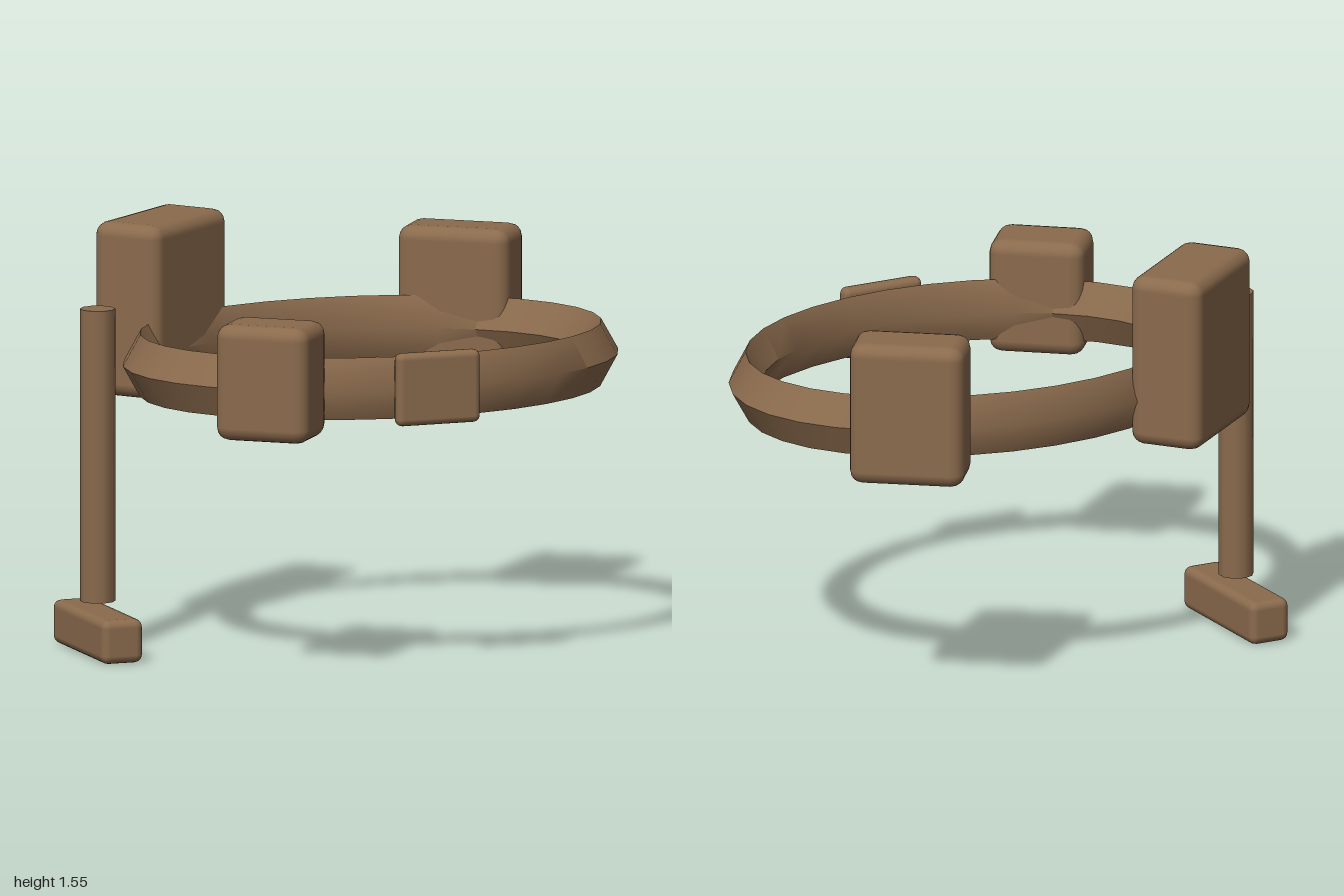
import * as THREE from 'three';
import { toCreasedNormals } from 'three/addons/utils/BufferGeometryUtils.js';
import { RoundedBoxGeometry } from 'three/addons/geometries/RoundedBoxGeometry.js';

export function createModel() {
  const model = new THREE.Group();
  model.name = 'beltWithPouchesAndHammer';
  const leather = new THREE.MeshStandardMaterial({ color: 0x8b6b4d });
  leather.name = 'brown leather';

  function add(name, geometry, x, y, z, turn = 0) {
    const mesh = new THREE.Mesh(geometry, leather);
    mesh.name = name;
    mesh.position.set(x, y, z);
    mesh.rotation.y = THREE.MathUtils.degToRad(turn);
    model.add(mesh);
    return mesh;
  }

  // Oval belt with a diamond cross-section, creased only at sharp edges
  const ring = new THREE.TorusGeometry(0.87, 0.065, 4, 32);
  ring.scale(1, 0.747, 1.77);
  ring.rotateX(Math.PI / 2);
  add('belt', toCreasedNormals(ring, 0.9), 0.062, 1.075, 0.02);

  // Pouches, all hanging to the same level: name, width, height, depth, x, z, turn
  const pouchBottom = 0.905;
  const pouches = [
    ['backRightPouch', 0.52, 0.645, 0.28, -0.545, -0.55, 38.5],
    ['backLeftPouch', 0.425, 0.537, 0.24, 0.635, -0.57, -37.5],
    ['frontRightPouch', 0.355, 0.43, 0.265, -0.545, 0.595, -39],
  ];
  for (const [name, w, h, d, x, z, turn] of pouches) {
    add(name, new RoundedBoxGeometry(w, h, d, 2, 0.05), x, pouchBottom + h / 2, z, turn);
  }

  // Buckle plate at the front
  add('buckle', new RoundedBoxGeometry(0.325, 0.27, 0.06, 2, 0.025), 0.0625, 1.075, 0.71);

  // Hammer hanging head down beside the belt
  add('hammerHandle', new THREE.CylinderGeometry(0.065, 0.065, 1.085, 10), -0.922, 0.738, -0.202);
  add('hammerHead', new RoundedBoxGeometry(0.16, 0.162, 0.54, 2, 0.03), -0.92, 0.083, -0.205);

  return model;
}
